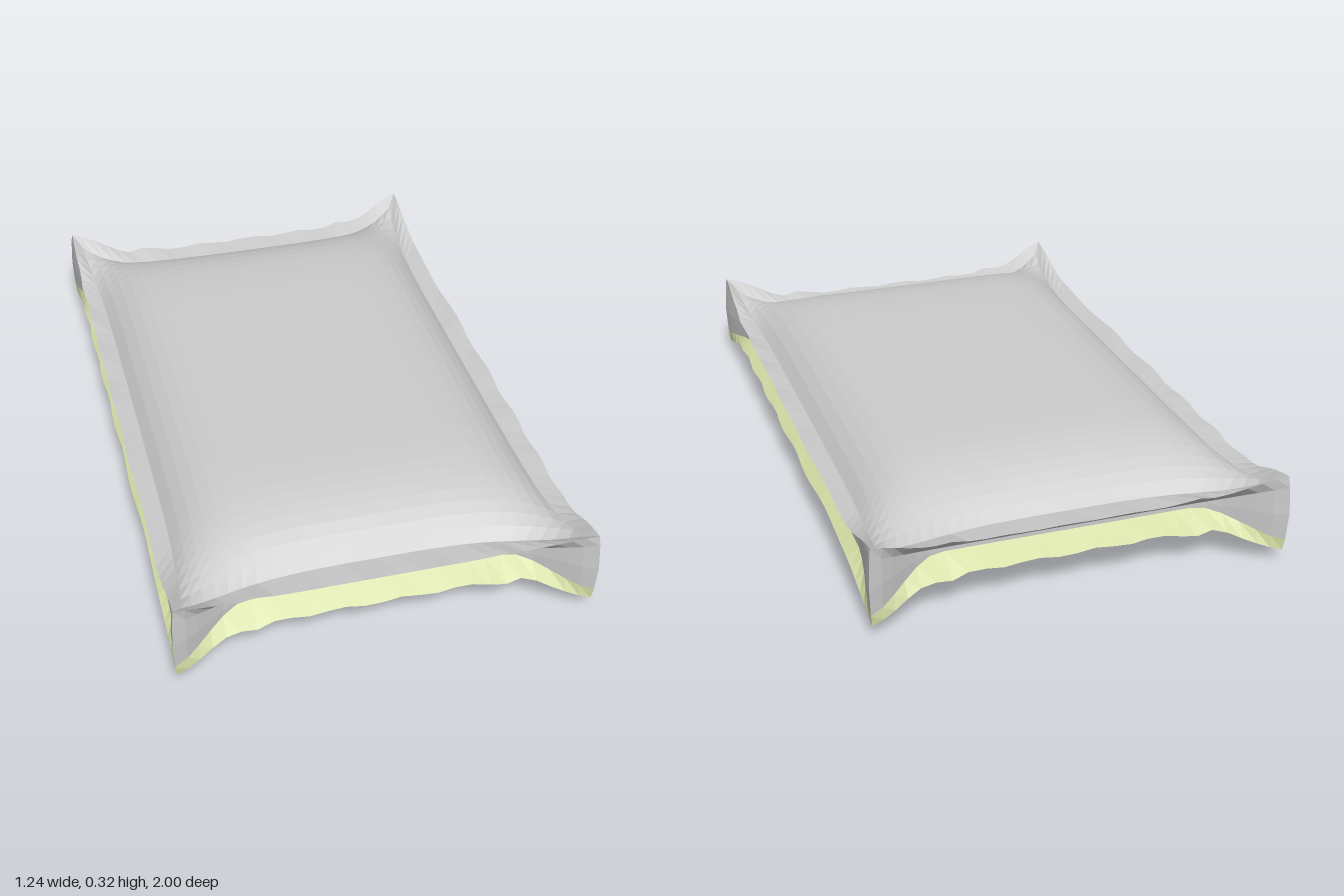
import * as THREE from 'three';

const MID = 0.16; // height of the mirror plane between top and bottom
const grey = new THREE.MeshStandardMaterial({ color: 0xcccccc, flatShading: true, side: THREE.DoubleSide });
const green = new THREE.MeshStandardMaterial({ color: 0xd3dca4, flatShading: true, side: THREE.DoubleSide });
const { smoothstep, lerp } = THREE.MathUtils;

// Rows of points joined by quads
function surface(rows, material, name) {
  const pos = rows.flat(2), index = [], n = rows[0].length;
  for (let r = 0; r < rows.length - 1; r++) {
    for (let i = 0; i < n - 1; i++) {
      const a = r * n + i, b = a + n;
      index.push(a, b, b + 1, a, b + 1, a + 1);
    }
  }
  const g = new THREE.BufferGeometry();
  g.setAttribute('position', new THREE.Float32BufferAttribute(pos, 3));
  g.setIndex(index);
  g.computeVertexNormals();
  const mesh = new THREE.Mesh(g, material);
  mesh.name = name;
  return mesh;
}

// Even steps from -1 to 1, crowded toward both ends
const steps = (n) => Array.from({ length: n + 1 }, (_, i) => {
  const t = (2 * i) / n - 1;
  return 0.7 * t + 0.3 * Math.sin((t * Math.PI) / 2);
});
const US = steps(26), VS = steps(38);

// Puffed panel: flat in the middle, falling to a crease; side is 1 (top) or -1 (bottom)
function panelPoint(u, v, side) {
  const x = u * (0.55 + 0.03 * v ** 6);
  const z = v * (0.84 + 0.11 * Math.abs(u) ** 3.5 * v ** 4);
  const corner = Math.abs(u) ** 8 * Math.abs(v) ** 12;
  const puff = (1 - u ** 6) * (1 - v ** 8);
  const crown = 0.004 * (1 - u * u) * (1 - v * v);
  return [x, MID + side * (0.037 + 0.05 * corner + 0.119 * puff + crown), z];
}

// Ring of (u, v) around the panel border
const ring = [
  ...US.map((u) => [u, 1]),
  ...VS.slice(0, -1).reverse().map((v) => [1, v]),
  ...US.slice(0, -1).reverse().map((u) => [u, -1]),
  ...VS.slice(1).map((v) => [-1, v]),
];

// 0 along the edges, rising to 1 at the pinched corners
const onEnd = (v) => Math.abs(v) === 1;
const pinch = (u, v) => (onEnd(v) ? smoothstep(Math.abs(u), 0.62, 1.06) / smoothstep(1, 0.62, 1.06)
  : smoothstep(Math.abs(v), 0.72, 1.04) / smoothstep(1, 0.72, 1.04));

// Border point moved inward by d, at height h from the mirror plane
function rimPoint(u, v, d, h) {
  const t = pinch(u, v);
  let x = u * 0.61;
  let z = v * (onEnd(v) ? lerp(0.93, 0.994, t) : 0.994);
  if (onEnd(v)) z -= v * d;
  if (Math.abs(u) === 1) x -= u * d;
  return [x, MID + h, z];
}

// Free edge of a flange, with small wrinkles
function lip(u, v, side) {
  const t = pinch(u, v);
  const fold = onEnd(v) ? 0.012 * Math.exp(-(((Math.abs(u) - 0.6) / 0.07) ** 2)) : 0;
  const ripple = 0.003 * (1 - t) * Math.sin(21 * u * v + 9 * v * v);
  return rimPoint(u, v, -ripple - fold * 0.5, side * (0.048 + 0.072 * t + fold + ripple));
}

// Inner fold of the side gusset; k is 1 (upper), 0 (middle) or -1 (lower)
function fold(u, v, k) {
  const t = pinch(u, v), end = onEnd(v);
  const depth = lerp(end ? 0.06 : 0.035, k === 0 ? -0.008 : -0.004, t);
  return rimPoint(u, v, depth, k * lerp(end ? 0.006 : 0.03, 0.085, t));
}

export function createModel() {
  const group = new THREE.Group();
  group.name = 'cushion';
  const row = (f, arg) => ring.map(([u, v]) => f(u, v, arg));

  // Upper and lower puffed panels
  const grid = (side) => US.map((u) => VS.map((v) => panelPoint(u, v, side)));
  const flip = (rows) => rows.map((r) => [...r].reverse());
  group.add(surface(flip(grid(1)), grey, 'topPanel'));
  group.add(surface(grid(-1), green, 'bottomPanel'));

  // Flat flanges around the panels
  group.add(surface([row(panelPoint, 1), row(lip, 1)], grey, 'topFlange'));
  group.add(surface([row(lip, -1), row(panelPoint, -1)], grey, 'bottomFlange'));

  // Folded gusset between the flanges
  group.add(surface([row(lip, 1), row(fold, 1), row(fold, 0), row(fold, -1)], grey, 'gusset'));
  group.add(surface([row(fold, -1), row(lip, -1)], green, 'lowerGusset'));
  return group;
}
